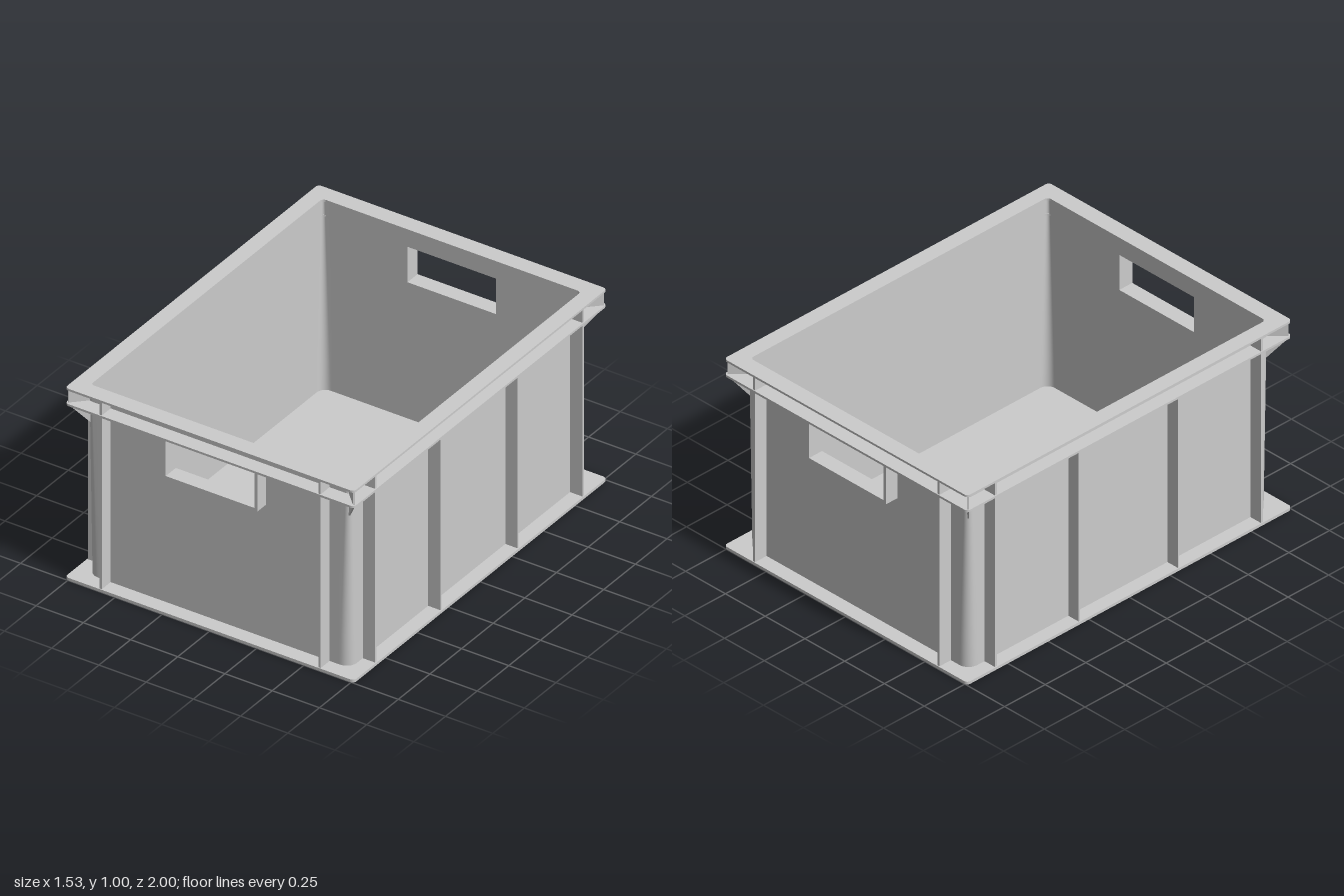
import * as THREE from 'three';

const HX = 0.765, HZ = 1;            // outer half size of base and flanges
const WX = 0.695, WZ = 0.925;        // outer half size of the walls
const T = 0.01;                      // wall thickness
const R = 0.06;                      // plan space kept for each rounded corner
const RIB_X = 0.76, RIB_Z = 0.995;   // how far the ribs reach out

export function createModel() {
  const group = new THREE.Group();
  const grey = new THREE.MeshStandardMaterial({ color: 0xcccccc });
  const thin = new THREE.MeshStandardMaterial({ color: 0xcccccc, side: THREE.DoubleSide });

  const add = (name, geometry, material = grey) => {
    const mesh = new THREE.Mesh(geometry, material);
    mesh.name = name;
    group.add(mesh);
    return mesh;
  };

  // Box given by its limits on each axis
  const block = (name, x0, x1, y0, y1, z0, z1) => {
    const g = new THREE.BoxGeometry(Math.abs(x1 - x0), y1 - y0, Math.abs(z1 - z0));
    g.translate((x0 + x1) / 2, (y0 + y1) / 2, (z0 + z1) / 2);
    add(name, g);
  };

  const roundedRect = (Type, w, h, r) => {
    const p = new Type();
    p.absarc(w - r, h - r, r, 0, Math.PI / 2);
    p.absarc(-w + r, h - r, r, Math.PI / 2, Math.PI);
    p.absarc(-w + r, -h + r, r, Math.PI, Math.PI * 1.5);
    p.absarc(w - r, -h + r, r, Math.PI * 1.5, Math.PI * 2);
    p.closePath();
    return p;
  };

  // Flat rounded plate, with an opening for the flanges
  const plate = (name, y, height, open) => {
    const shape = roundedRect(THREE.Shape, HX, HZ, 0.02);
    if (open) shape.holes.push(roundedRect(THREE.Path, WX - T, WZ - T, 0.02));
    const g = new THREE.ExtrudeGeometry(shape, { depth: height, bevelEnabled: false, curveSegments: 5 });
    g.rotateX(-Math.PI / 2).translate(0, y, 0);
    add(name, g);
  };
  plate('basePlate', 0, 0.014, false);
  plate('lowerFlange', 0.909, 0.011, true);
  plate('topRim', 0.989, 0.011, true);

  // Corner sheet whose radius shrinks towards the top
  const cornerSheet = (name, sx, sz, hx, hz, inset) => {
    const pos = [], index = [], rows = 6, arc = 8, cols = arc + 3;
    for (let j = 0; j <= rows; j++) {
      const v = j / rows, r = THREE.MathUtils.lerp(R - 0.005, 0.022, v) - inset;
      const y = 0.01 + v * 0.985;
      const put = (x, z) => pos.push(sx * x, y, sz * z);
      put(WX - R, hz);
      for (let i = 0; i <= arc; i++) {
        const a = (i / arc) * Math.PI / 2;
        put(hx - r + r * Math.sin(a), hz - r + r * Math.cos(a));
      }
      put(hx, WZ - R);
    }
    const flip = (sx * sz < 0) !== (inset > 0);
    for (let j = 0; j < rows; j++) for (let i = 0; i < cols - 1; i++) {
      const a = j * cols + i, b = a + 1, c = a + cols, d = c + 1;
      if (flip) index.push(a, c, b, b, c, d);
      else index.push(a, b, c, b, d, c);
    }
    const g = new THREE.BufferGeometry();
    g.setAttribute('position', new THREE.Float32BufferAttribute(pos, 3));
    g.setIndex(index);
    g.computeVertexNormals();
    add(name, g, thin);
  };

  for (const s of [-1, 1]) {
    // Long side walls
    block('sideWall', s * (WX - T), s * WX, 0.01, 0.995, -WZ + R, WZ - R);

    // End walls with the hand opening
    const wall = new THREE.Shape();
    const w = WX - R;
    wall.moveTo(-w, 0.01).lineTo(w, 0.01).lineTo(w, 0.995).lineTo(-w, 0.995).closePath();
    const hole = new THREE.Path();
    hole.moveTo(-0.235, 0.724).lineTo(-0.235, 0.909).lineTo(0.235, 0.909).lineTo(0.235, 0.724).closePath();
    wall.holes.push(hole);
    const g = new THREE.ExtrudeGeometry(wall, { depth: T, bevelEnabled: false });
    g.translate(0, 0, s > 0 ? WZ - T : -WZ);
    add('endWall', g);

    // Frame around the hand opening
    const z0 = s * (WZ - 0.005), z1 = s * RIB_Z;
    block('handleFrameBottom', -0.25, 0.25, 0.71, 0.724, z0, z1);
    for (const e of [-1, 1]) {
      block('handleFrameSide', e * 0.235, e * 0.25, 0.724, 0.912, z0, z1);
      // Full-height ribs beside the corners
      block('endRib', e * 0.573, e * 0.586, 0.01, 0.995, z0, z1);
      block('cornerSideRib', s * (WX - 0.005), s * RIB_X, 0.01, 0.995, e * 0.812, e * 0.825);
      // Slim ribs in the middle of the long sides
      block('sideRib', s * (WX - 0.005), s * RIB_X, 0.01, 0.912, e * 0.301, e * 0.309);
    }
  }

  // Rounded wall corners and the diagonal gussets under the rim
  const gusset = new THREE.Shape();
  gusset.moveTo(0, 0.8).lineTo(0.008, 0.81).lineTo(0.103, 0.91).lineTo(0.103, 0.992).lineTo(0, 0.992).closePath();
  for (const sx of [-1, 1]) for (const sz of [-1, 1]) {
    cornerSheet('cornerOutside', sx, sz, WX, WZ, 0);
    cornerSheet('cornerInside', sx, sz, WX - T, WZ - T, T);
    const g = new THREE.ExtrudeGeometry(gusset, { depth: 0.008, bevelEnabled: false });
    g.translate(0, 0, -0.004);
    g.rotateY(Math.atan2(-sz, sx));
    g.translate(sx * 0.684, 0, sz * 0.914);
    add('cornerGusset', g);
  }

  return group;
}
